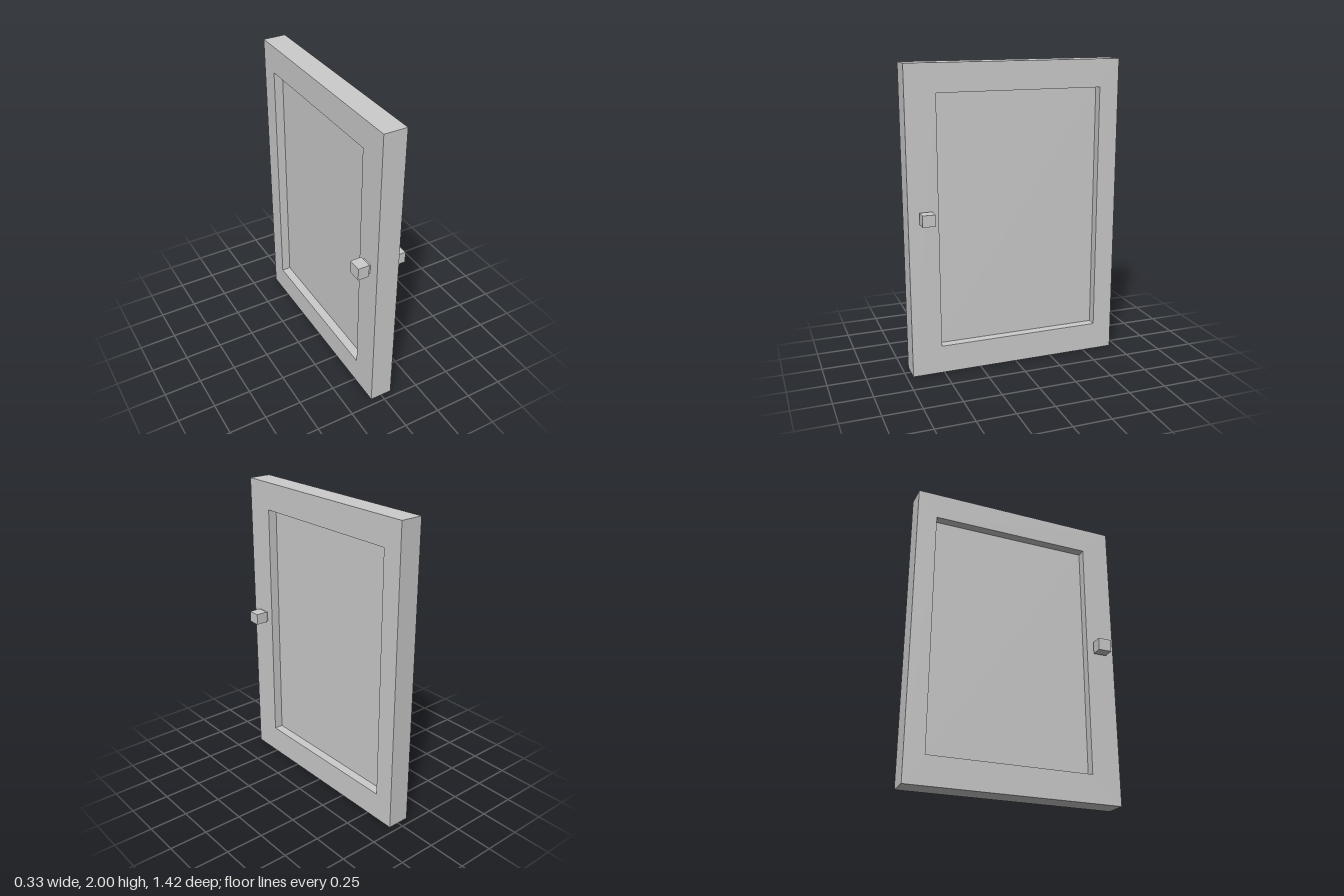
import * as THREE from 'three';

const material = new THREE.MeshStandardMaterial({ color: 0xcccccc, flatShading: true });

function rectangle(PathType, z0, z1, y0, y1) {
  const path = new PathType();
  path.moveTo(z0, y0);
  path.lineTo(z1, y0);
  path.lineTo(z1, y1);
  path.lineTo(z0, y1);
  path.closePath();
  return path;
}

// Box between two corners, optionally narrowed at its low-x end
function block(name, [x0, y0, z0], [x1, y1, z1], taper = 1) {
  const geometry = new THREE.BoxGeometry(x1 - x0, y1 - y0, z1 - z0);
  const p = geometry.attributes.position;
  for (let i = 0; i < p.count; i++) {
    if (p.getX(i) < 0) p.setXYZ(i, p.getX(i), p.getY(i) * taper, p.getZ(i) * taper);
  }
  geometry.computeVertexNormals();
  const mesh = new THREE.Mesh(geometry, material);
  mesh.name = name;
  mesh.position.set((x0 + x1) / 2, (y0 + y1) / 2, (z0 + z1) / 2);
  return mesh;
}

export function createModel() {
  const door = new THREE.Group();
  door.name = 'door';
  const faceMin = -0.077, faceMax = 0.073;

  // Frame with a rectangular opening, extruded through the door's thickness
  const outline = rectangle(THREE.Shape, -0.708, 0.708, 0, 2);
  outline.holes.push(rectangle(THREE.Path, -0.577, 0.513, 0.185, 1.82));
  const frameGeometry = new THREE.ExtrudeGeometry(outline, { depth: faceMax - faceMin, bevelEnabled: false });
  frameGeometry.rotateY(-Math.PI / 2);
  frameGeometry.translate(faceMax, 0, 0);
  const frame = new THREE.Mesh(frameGeometry, material);
  frame.name = 'frame';
  door.add(frame);

  // Thin panel recessed on both faces
  door.add(block('panel', [-0.017, 0.185, -0.577], [0.013, 1.82, 0.513]));

  // Left knob: a block with a short flared base
  const leftKnob = new THREE.Group();
  leftKnob.name = 'leftKnob';
  leftKnob.add(
    block('leftKnobBase', [faceMax, 1.021, 0.557], [0.088, 1.095, 0.64], 0.82),
    block('leftKnobGrip', [0.088, 1.021, 0.557], [0.166, 1.095, 0.64])
  );

  // Right knob: a slightly larger block on a narrow stem
  const rightKnob = new THREE.Group();
  rightKnob.name = 'rightKnob';
  rightKnob.add(
    block('rightKnobStem', [-0.092, 1.027, 0.564], [faceMin, 1.089, 0.633]),
    block('rightKnobGrip', [-0.167, 1.016, 0.554], [-0.092, 1.1, 0.645])
  );

  door.add(leftKnob, rightKnob);
  return door;
}
